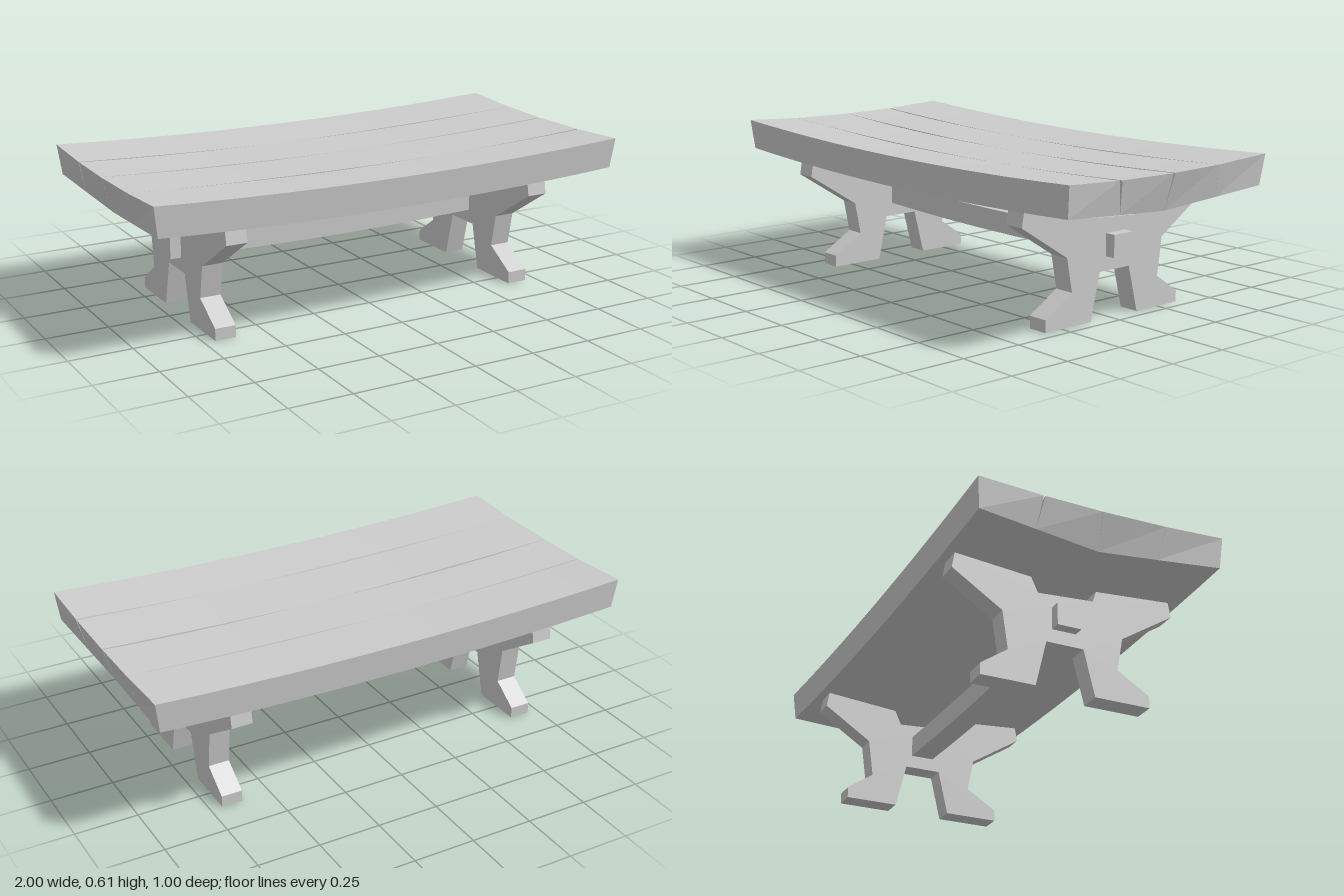
import * as THREE from 'three';

const material = new THREE.MeshStandardMaterial({ color: 0xcccccc, flatShading: true });

// Skin four-cornered sections, listed from -x to +x, and close both ends.
// Corner order: front bottom, back bottom, back top, front top.
function loft(sections) {
  const out = [];
  const quad = (a, b, c, d) => out.push(...a, ...b, ...c, ...a, ...c, ...d);
  for (let i = 0; i < sections.length - 1; i++) {
    const s = sections[i], t = sections[i + 1];
    for (let j = 0; j < 4; j++) {
      const k = (j + 1) % 4;
      quad(s[j], s[k], t[k], t[j]);
    }
  }
  const first = sections[0], last = sections[sections.length - 1];
  quad(first[3], first[2], first[1], first[0]);
  quad(last[0], last[1], last[2], last[3]);
  const geometry = new THREE.BufferGeometry();
  geometry.setAttribute('position', new THREE.Float32BufferAttribute(out, 3));
  geometry.computeVertexNormals();
  return geometry;
}

function addMesh(parent, geometry, name) {
  const mesh = new THREE.Mesh(geometry, material);
  mesh.name = name;
  parent.add(mesh);
  return mesh;
}

// The top sags along its length and dishes slightly across its width.
const sag = (x) => 0.028 * (1 - x * x);
function topPoint(x, z) {
  const a = Math.abs(z);
  const rise = a < 0.25 ? 0.016 * a : 0.004 + (a - 0.25) * 0.052;
  return [x, 0.588 + rise - sag(x), z];
}
function bottomPoint(x, z) {
  const a = Math.abs(z);
  return [x * (0.955 + 0.06 * a), 0.445 + 0.08 * a - sag(x), z];
}

// Plank edges from front to back; gap is the widest opening at the surface.
const seams = [
  { top: 0.5, bottom: 0.49, gap: 0 },
  { top: 0.257, bottom: 0.229, gap: 0.006 },
  { top: -0.008, bottom: -0.008, gap: 0.006 },
  { top: -0.242, bottom: -0.264, gap: 0.005 },
  { top: -0.5, bottom: -0.49, gap: 0 },
];

function createTop() {
  const top = new THREE.Group();
  top.name = 'tableTop';
  const steps = 12;
  for (let p = 0; p < 4; p++) {
    const front = seams[p], back = seams[p + 1];
    const sections = [];
    for (let i = 0; i <= steps; i++) {
      const x = -1 + (2 * i) / steps;
      // hand-worn gaps open and close along the seam
      const open = (n) => 0.5 + 0.5 * Math.cos(x * 5 + n * 1.3);
      const zf = front.top - front.gap * open(p);
      const zb = back.top + back.gap * open(p + 1);
      sections.push([
        bottomPoint(x, front.bottom), bottomPoint(x, back.bottom),
        topPoint(x, zb), topPoint(x, zf),
      ]);
    }
    addMesh(top, loft(sections), 'plank' + (p + 1));
  }
  return top;
}

// Trestle outline seen from the model's left end: [-z, y]
const trestleOutline = [
  [-0.33, 0], [-0.103, 0], [-0.06, 0.184], [0.092, 0.184], [0.138, 0], [0.355, 0],
  [0.355, 0.045], [0.247, 0.12], [0.268, 0.272], [0.468, 0.402], [0.457, 0.464],
  [0.15, 0.437], [0.123, 0.377], [-0.106, 0.393], [-0.121, 0.437], [-0.434, 0.462],
  [-0.445, 0.402], [-0.226, 0.262], [-0.2, 0.128], [-0.33, 0.048],
];

function createTrestle() {
  const shape = new THREE.Shape(trestleOutline.map(([u, y]) => new THREE.Vector2(u, y)));
  const geometry = new THREE.ExtrudeGeometry(shape, { depth: 0.084, bevelEnabled: false });
  geometry.translate(0, 0, -0.042);
  geometry.rotateY(Math.PI / 2);
  return geometry;
}

// Gently sagging beam that passes through both trestles
function createStretcher() {
  const sections = [-0.75, -0.62, -0.4, -0.2, 0, 0.2, 0.4, 0.62, 0.745].map((x) => {
    const dip = 0.012 * Math.max(0, 1 - (x / 0.62) ** 2);
    const low = 0.239 - dip, high = 0.327 - dip;
    return [[x, low, 0.03], [x, low, -0.067], [x, high, -0.067], [x, high, 0.03]];
  });
  return loft(sections);
}

export function createModel() {
  const table = new THREE.Group();
  table.name = 'trestleTable';
  table.add(createTop());
  const trestle = createTrestle();
  addMesh(table, trestle, 'leftTrestle').position.x = 0.66;
  addMesh(table, trestle, 'rightTrestle').position.x = -0.664;
  addMesh(table, createStretcher(), 'stretcher');
  return table;
}
